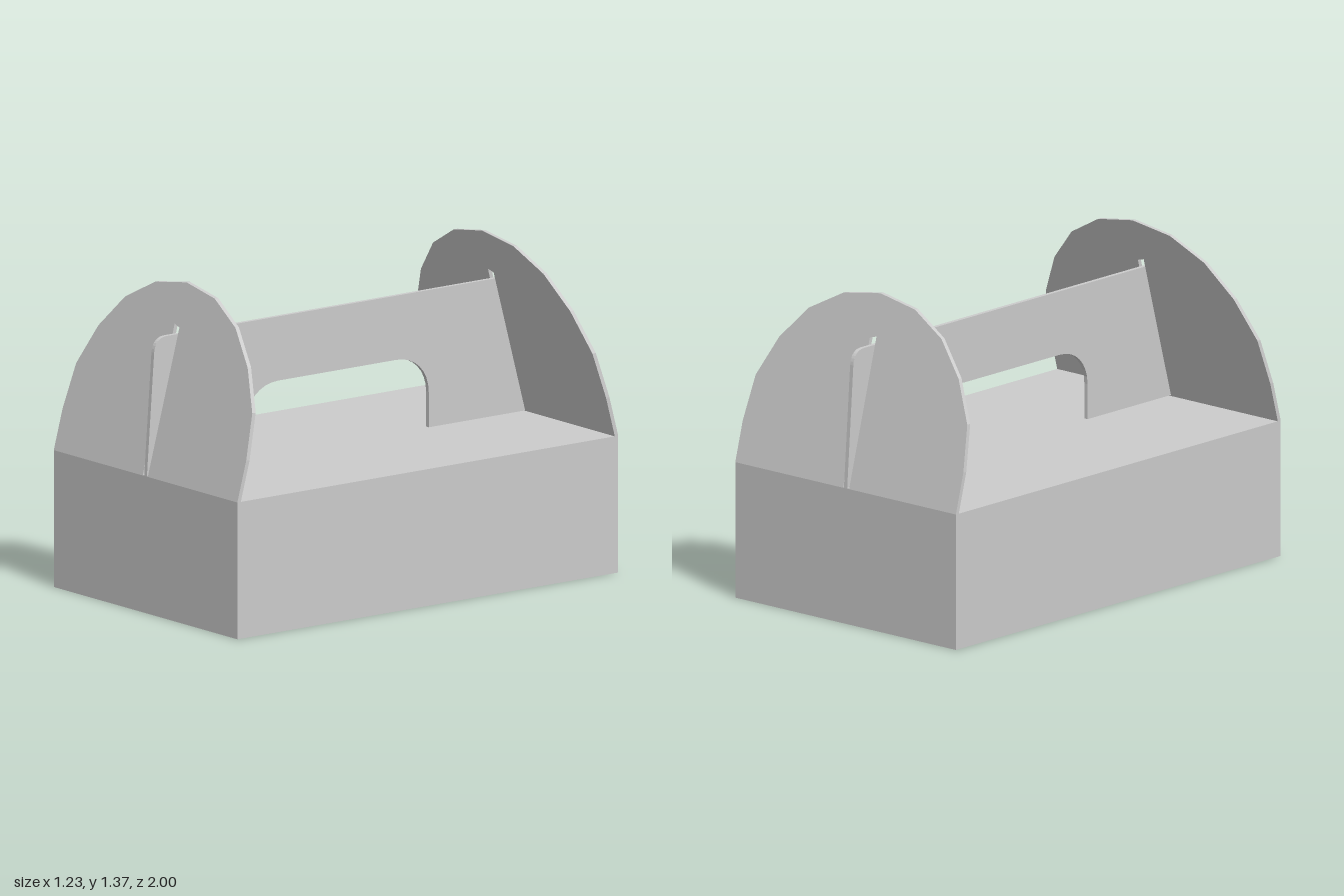
import * as THREE from 'three';

const HALF_W = 0.615, BOX_H = 0.58, CARD = 0.018;
const material = new THREE.MeshStandardMaterial({ color: 0xcccccc, flatShading: true, side: THREE.DoubleSide });

function addMesh(parent, name, geometry) {
  const mesh = new THREE.Mesh(geometry, material);
  mesh.name = name;
  parent.add(mesh);
  return mesh;
}

// Arched end flap with a slot, leaning inwards; side is +1 (front) or -1 (back)
function endFlap(side) {
  const arch = [[0.615, 0.75], [0.59, 0.94], [0.5, 1.11], [0.37, 1.25], [0.2, 1.34]];
  const shape = new THREE.Shape();
  shape.moveTo(-HALF_W, BOX_H);
  shape.lineTo(HALF_W, BOX_H);
  arch.forEach(([x, y]) => shape.lineTo(x, y));
  shape.lineTo(0, 1.372);
  [...arch].reverse().forEach(([x, y]) => shape.lineTo(-x, y));
  shape.closePath();

  const slot = new THREE.Path();
  slot.moveTo(-0.02, BOX_H + 0.003);
  slot.lineTo(-0.02, 1.2);
  slot.lineTo(0.015, 1.19);
  slot.lineTo(0.015, BOX_H + 0.003);
  slot.closePath();
  shape.holes.push(slot);

  const geometry = new THREE.ExtrudeGeometry(shape, { depth: CARD, bevelEnabled: false });
  geometry.translate(0, 0, side > 0 ? 1 - CARD : -1);
  // Lean by shearing towards the centre with height
  const p = geometry.attributes.position;
  for (let i = 0; i < p.count; i++) {
    p.setZ(i, p.getZ(i) - side * 0.272 * (p.getY(i) - BOX_H));
  }
  geometry.computeVertexNormals();
  return geometry;
}

// Upright carrying panel: rounded top corners, hand opening along the lid
function handlePanel() {
  const shape = new THREE.Shape();
  shape.moveTo(-1, BOX_H);
  shape.lineTo(-0.48, BOX_H);
  shape.lineTo(-0.48, 0.73);
  shape.bezierCurveTo(-0.48, 0.82, -0.41, 0.89, -0.31, 0.89);
  shape.lineTo(0.31, 0.89);
  shape.bezierCurveTo(0.41, 0.89, 0.48, 0.82, 0.48, 0.73);
  shape.lineTo(0.48, BOX_H);
  shape.lineTo(1, BOX_H);
  shape.lineTo(0.962, 1.1);
  shape.quadraticCurveTo(0.955, 1.162, 0.895, 1.162);
  shape.lineTo(-0.895, 1.162);
  shape.quadraticCurveTo(-0.955, 1.162, -0.962, 1.1);
  shape.closePath();
  const geometry = new THREE.ExtrudeGeometry(shape, { depth: CARD, bevelEnabled: false, curveSegments: 8 });
  geometry.translate(0, 0, -CARD / 2);
  geometry.rotateY(-Math.PI / 2);
  return geometry;
}

export function createModel() {
  const group = new THREE.Group();
  group.name = 'carryBox';

  // Closed box body
  const body = addMesh(group, 'boxBody', new THREE.BoxGeometry(HALF_W * 2, BOX_H, 2));
  body.position.y = BOX_H / 2;

  addMesh(group, 'handlePanel', handlePanel());
  addMesh(group, 'frontFlap', endFlap(1));
  addMesh(group, 'backFlap', endFlap(-1));
  return group;
}
